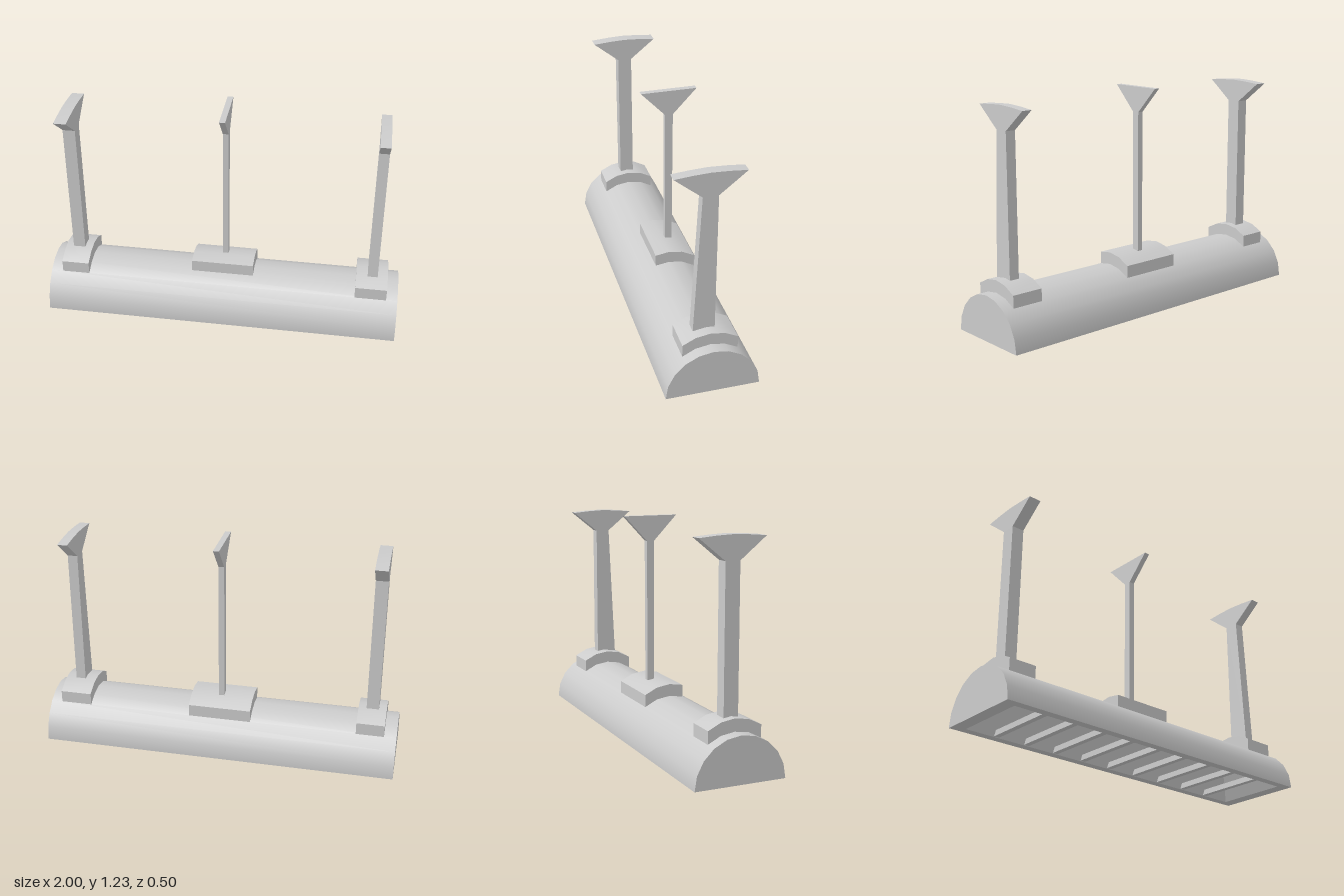
import * as THREE from 'three';
import { toCreasedNormals } from 'three/addons/utils/BufferGeometryUtils.js';

const material = new THREE.MeshStandardMaterial({ color: 0xcccccc });
const doubleSided = new THREE.MeshStandardMaterial({ color: 0xcccccc, side: THREE.DoubleSide });

function add(parent, name, geometry, mat = material) {
  const mesh = new THREE.Mesh(geometry, mat);
  mesh.name = name;
  parent.add(mesh);
  return mesh;
}

// Extrudes a [z, y] profile along x from x0 to x1, smoothing shallow bends
function slab(profile, x0, x1) {
  const shape = new THREE.Shape(profile.map(([z, y]) => new THREE.Vector2(-z, y)));
  const geometry = new THREE.ExtrudeGeometry(shape, { depth: x1 - x0, bevelEnabled: false });
  geometry.rotateY(Math.PI / 2).translate(x0, 0, 0);
  return toCreasedNormals(geometry, 0.45);
}

const R = 0.25;
const OPEN = { x: 0.93, z: 0.205 };             // underside opening
const CEILING = { x: 0.83, z: 0.125, y: 0.175 }; // top of the hollow

// Half-round hull with a hollow underside and cross rungs
function createHull() {
  const hull = new THREE.Group();
  hull.name = 'hull';

  const shell = new THREE.CylinderGeometry(R, R, 2, 10, 1, true, 0, Math.PI);
  add(hull, 'hullShell', shell.rotateZ(Math.PI / 2), doubleSided);

  for (const side of [-1, 1]) {
    const cap = new THREE.CircleGeometry(R, 10, 0, Math.PI);
    cap.rotateY(side * Math.PI / 2).translate(side, 0, 0);
    add(hull, 'hullEnd', cap);
  }

  const rect = (x, z) => [[-x, -z], [x, -z], [x, z], [-x, z]].map(p => new THREE.Vector2(...p));
  const rim = new THREE.Shape(rect(1, R));
  rim.holes.push(new THREE.Path(rect(OPEN.x, OPEN.z)));
  add(hull, 'bottomRim', new THREE.ShapeGeometry(rim).rotateX(Math.PI / 2));

  // Sloping walls and flat ceiling of the hollow
  const low = rect(OPEN.x, OPEN.z).map(p => [p.x, 0, p.y]);
  const high = rect(CEILING.x, CEILING.z).map(p => [p.x, CEILING.y, p.y]);
  const points = [];
  const quad = (a, b, c, d) => points.push(...a, ...b, ...c, ...a, ...c, ...d);
  for (let i = 0; i < 4; i++) {
    const j = (i + 1) % 4;
    quad(low[i], low[j], high[j], high[i]);
  }
  quad(...high);
  const hollow = new THREE.BufferGeometry();
  hollow.setAttribute('position', new THREE.Float32BufferAttribute(points, 3));
  hollow.computeVertexNormals();
  add(hull, 'hollow', hollow, doubleSided);

  for (let i = -4; i <= 4; i++) {
    const rung = add(hull, 'rung', new THREE.BoxGeometry(0.03, 0.03, OPEN.z * 2));
    rung.position.set(i * 0.187, 0.018, 0);
  }
  return hull;
}

// Saddle block that hugs the hull, cut off at the given front z
function saddle(x0, x1, front) {
  const top = [[-0.147, 0.27], [-0.077, 0.305], [0, 0.317], [0.077, 0.305], [0.147, 0.27]];
  const bottom = [[-0.147, 0.202], [-0.077, 0.238], [0, 0.25], [0.077, 0.238], [0.147, 0.202]];
  const keep = ([z]) => z <= front;
  return slab([...top.filter(keep), ...bottom.filter(keep).reverse()], x0, x1);
}

// Saddle, upright and flared head
function createSupport(name, { base, front, post, postProfile, headProfile }) {
  const support = new THREE.Group();
  support.name = name;
  add(support, 'saddle', saddle(...base, front));
  add(support, 'post', slab(postProfile, ...post));
  add(support, 'head', slab(headProfile, ...post));
  return support;
}

export function createModel() {
  const model = new THREE.Group();
  model.name = 'standWithSupports';
  model.add(createHull());

  const endHead = [[-0.04, 1.08], [0.04, 1.08], [0.183, 1.195], [0.09, 1.203],
    [0, 1.207], [-0.09, 1.203], [-0.183, 1.195]];

  model.add(createSupport('rightSupport', {
    base: [-0.932, -0.776], front: 0.15, post: [-0.889, -0.82],
    postProfile: [[-0.04, 0.29], [0.04, 0.29], [0.04, 1.08], [-0.04, 1.08]],
    headProfile: endHead,
  }));

  // This post tapers along its front edge
  model.add(createSupport('leftSupport', {
    base: [0.76, 0.937], front: 0.15, post: [0.824, 0.88],
    postProfile: [[-0.04, 0.29], [0.077, 0.29], [0.04, 1.08], [-0.04, 1.08]],
    headProfile: endHead,
  }));

  model.add(createSupport('middleSupport', {
    base: [-0.18, 0.174], front: 0.08, post: [-0.014, 0.018],
    postProfile: [[-0.06, 0.29], [-0.02, 0.29], [-0.02, 1.095], [-0.063, 1.095]],
    headProfile: [[-0.063, 1.095], [-0.02, 1.095], [0.113, 1.234], [-0.194, 1.234]],
  }));
  return model;
}
